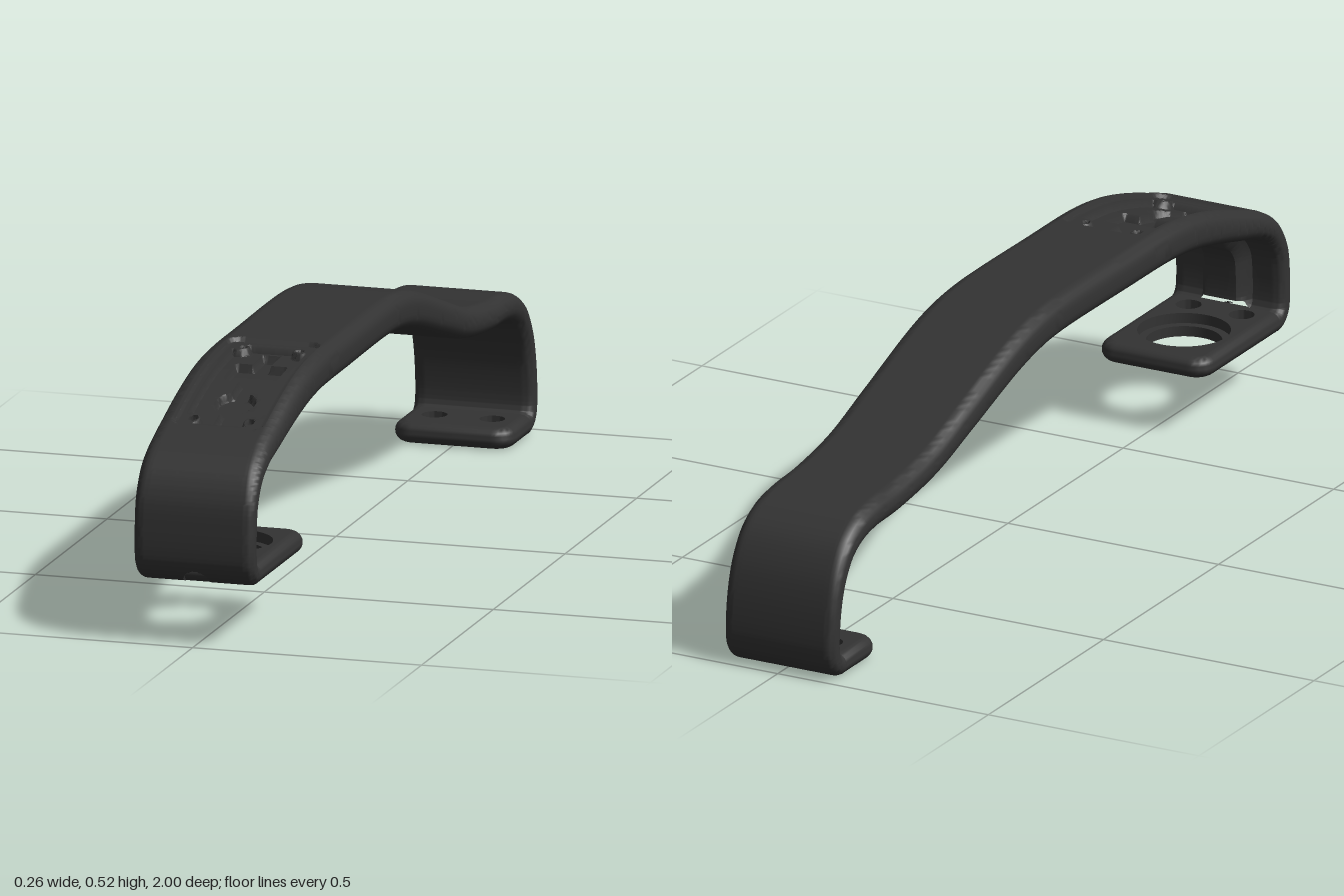
import * as THREE from 'three';
import { toCreasedNormals } from 'three/addons/utils/BufferGeometryUtils.js';

const W = 0.132; // half width of the strap
const FOOT = 0.045; // thickness of feet and end walls
const material = new THREE.MeshStandardMaterial({ color: 0x333333 });
const twoSided = new THREE.MeshStandardMaterial({ color: 0x333333, side: THREE.DoubleSide });

// Outer line of the strap, front foot to rear foot: [z, y, thickness]
const path = new THREE.CatmullRomCurve3([
  [0.94, 0.13, FOOT], [0.946, 0.13, FOOT], [0.965, 0.135, FOOT], [0.982, 0.147, FOOT], [0.995, 0.167, FOOT],
  [1, 0.19, FOOT], [1, 0.25, FOOT], [0.99, 0.315, 0.046], [0.955, 0.375, 0.053], [0.9, 0.413, 0.06], [0.8, 0.45, 0.068],
  [0.7, 0.482, 0.074], [0.6, 0.506, 0.078], [0.5, 0.518, 0.08], [0.3, 0.521, 0.08], [0, 0.521, 0.08],
  [-0.1, 0.511, 0.08], [-0.2, 0.488, 0.078], [-0.4, 0.42, 0.072], [-0.55, 0.37, 0.067], [-0.7, 0.345, 0.064],
  [-0.8, 0.338, 0.062], [-0.87, 0.323, 0.06], [-0.93, 0.287, 0.055], [-0.97, 0.23, 0.05], [-0.99, 0.17, 0.046],
  [-1, 0.1, FOOT], [-1, 0.06, FOOT], [-0.995, 0.037, FOOT], [-0.982, 0.017, FOOT], [-0.965, 0.005, FOOT],
  [-0.946, 0, FOOT], [-0.94, 0, FOOT],
].map(([z, y, t]) => new THREE.Vector3(t, y, z)));
path.arcLengthDivisions = 1500;

// Signed distances used to carve the strap
const box = (x, z, cz, hx, hz, r) => {
  const a = Math.abs(x) - hx + r, b = Math.abs(z - cz) - hz + r;
  return Math.hypot(Math.max(a, 0), Math.max(b, 0)) + Math.min(Math.max(a, b), 0) - r;
};
const disc = (x, z, cx, cz, r) => Math.hypot(x - cx, z - cz) - r;
const inside = (d) => THREE.MathUtils.clamp(0.5 - d / 0.004, 0, 1);

// How far the outer face is sunk: lid pocket on top, cable notch at the front foot
function sink(x, y, z) {
  if (z > 0.9 && y < 0.2) return 0.03 * inside(Math.hypot(x, y - 0.13) - 0.027);
  if (z < 0.38 || z > 0.87 || y < 0.3) return 0;
  const ax = Math.abs(x);
  const ledge = box(x, z, 0.625, 0.1, 0.215, 0.03);
  const bosses = Math.min(disc(ax, z, 0.068, 0.45, 0.022), disc(ax, z, 0.068, 0.8, 0.022));
  const well = Math.max(box(x, z, 0.625, 0.079, 0.19, 0.02), -bosses);
  const channel = Math.min(
    box(x, z, 0.63, 0.018, 0.18, 0.004),
    box(x, z, 0.567, 0.055, 0.045, 0.006),
    disc(x, z, 0, 0.71, 0.042));
  const screws = Math.min(disc(ax, z, 0.062, 0.45, 0.007), disc(ax, z, 0.062, 0.8, 0.007));
  return 0.01 * inside(ledge) + 0.016 * inside(well) + 0.018 * inside(channel) + 0.03 * inside(screws);
}

// Raised cable duct on the inner side of the front wall
function duct(x, z) {
  return 0.033 * THREE.MathUtils.smoothstep(z, 0.86, 0.94) * (1 - THREE.MathUtils.smoothstep(Math.abs(x), 0.035, 0.06));
}

// Rounded cross-section as [x, outward offset], carved by the rules above
function section(t, y, z) {
  const r = Math.min(0.03, t * 0.48), e = W - r, ring = [];
  const fillet = (cx, co, start) => {
    for (let k = 0; k <= 5; k++) {
      const a = start + (k / 5) * Math.PI / 2;
      ring.push([cx + r * Math.cos(a), co + r * Math.sin(a)]);
    }
  };
  for (let i = 1; i < 30; i++) {
    const x = -e + (2 * e * i) / 30;
    ring.push([x, -t - duct(x, z)]);
  }
  fillet(e, -t + r, -Math.PI / 2);
  fillet(e, -r, 0);
  for (let i = 1; i < 60; i++) {
    const x = e - (2 * e * i) / 60;
    ring.push([x, -sink(x, y, z)]);
  }
  fillet(-e, -r, Math.PI / 2);
  fillet(-e, -t + r, Math.PI);
  return ring;
}

// Joins equal rings of points into a surface
function loft(rings) {
  const n = rings[0].length, index = [];
  for (let i = 0; i < rings.length - 1; i++) {
    for (let j = 0; j < n; j++) {
      const a = i * n + j, b = i * n + (j + 1) % n;
      index.push(a, a + n, b, b, a + n, b + n);
    }
  }
  const g = new THREE.BufferGeometry();
  g.setAttribute('position', new THREE.Float32BufferAttribute(rings.flat(2), 3));
  g.setIndex(index);
  return toCreasedNormals(g, 0.7);
}

function strapGeometry() {
  const rings = [], length = path.getLength();
  for (let u = 0, last = false; !last;) {
    last = u >= 1;
    u = Math.min(u, 1);
    const p = path.getPointAt(u);
    const d = path.getPointAt(Math.min(u + 5e-4, 1)).sub(path.getPointAt(Math.max(u - 5e-4, 0)));
    const l = Math.hypot(d.y, d.z), oz = d.y / l, oy = -d.z / l;
    rings.push(section(p.x, p.y, p.z).map(([x, o]) => [x, p.y + oy * o, p.z + oz * o]));
    u += (p.z > 0.38 || p.y < 0.1 ? 0.004 : 0.014) / length; // finer where carved or tightly bent
  }
  return loft(rings);
}

// Flat foot with rounded rim; holes are [x, z, upper radius, lower radius]
function makeFoot(name, zFree, zJoint, y0, holes) {
  const group = new THREE.Group();
  group.name = name;
  const b = FOOT / 2, mid = (zFree + zJoint) / 2, half = Math.abs(zFree - zJoint) / 2;
  const contour = (inset) => [[1, 1], [-1, 1], [-1, -1], [1, -1]].flatMap(([sx, sz], c) => {
    const r = sz === Math.sign(zJoint - zFree) ? 0.024 : 0.045;
    return Array.from({ length: 9 }, (_, k) => {
      const a = (c + k / 8) * Math.PI / 2;
      return [sx * (W - r) + (r - inset) * Math.cos(a), mid + sz * (half - r) + (r - inset) * Math.sin(a)];
    });
  });
  const add = (label, geometry) => {
    const mesh = new THREE.Mesh(geometry, twoSided);
    mesh.name = label;
    group.add(mesh);
    return mesh;
  };
  // Rounded rim
  const rings = [];
  for (let k = 0; k <= 10; k++) {
    const a = (k / 10 - 0.5) * Math.PI;
    rings.push(contour(b * (1 - Math.cos(a))).map(([x, z]) => [x, y0 + b + b * Math.sin(a), z]));
  }
  add('footRim', loft(rings));
  // Upper and lower faces
  [[y0 + FOOT, 2, 'footTop'], [y0, 3, 'footBottom']].forEach(([y, radius, label]) => {
    const shape = new THREE.Shape(contour(b).map(([x, z]) => new THREE.Vector2(x, z)));
    holes.forEach((h) => shape.holes.push(new THREE.Path().absarc(h[0], h[1], h[radius], 0, Math.PI * 2, true)));
    add(label, new THREE.ShapeGeometry(shape, 24).rotateX(Math.PI / 2)).position.y = y;
  });
  // Stepped walls of the holes
  holes.forEach(([x, z, R, r]) => {
    const step = FOOT * 0.5;
    const wall = new THREE.LatheGeometry(
      [[r, 0], [r, step], [R, step], [R, FOOT]].map(([a, h]) => new THREE.Vector2(a, h)), 48);
    add('holeWall', toCreasedNormals(wall, 0.7)).position.set(x, y0, z);
  });
  return group;
}

export function createModel() {
  const model = new THREE.Group();
  model.name = 'handle';
  const strap = new THREE.Mesh(strapGeometry(), material);
  strap.name = 'strap';
  model.add(strap);
  const screws = (z) => [-0.063, 0.063].map((x) => [x, z, 0.027, 0.011]);
  model.add(makeFoot('frontFoot', 0.615, 0.965, 0.13, [[0, 0.765, 0.098, 0.08], ...screws(0.9)]));
  model.add(makeFoot('rearFoot', -0.795, -0.965, 0, screws(-0.888)));
  return model;
}
